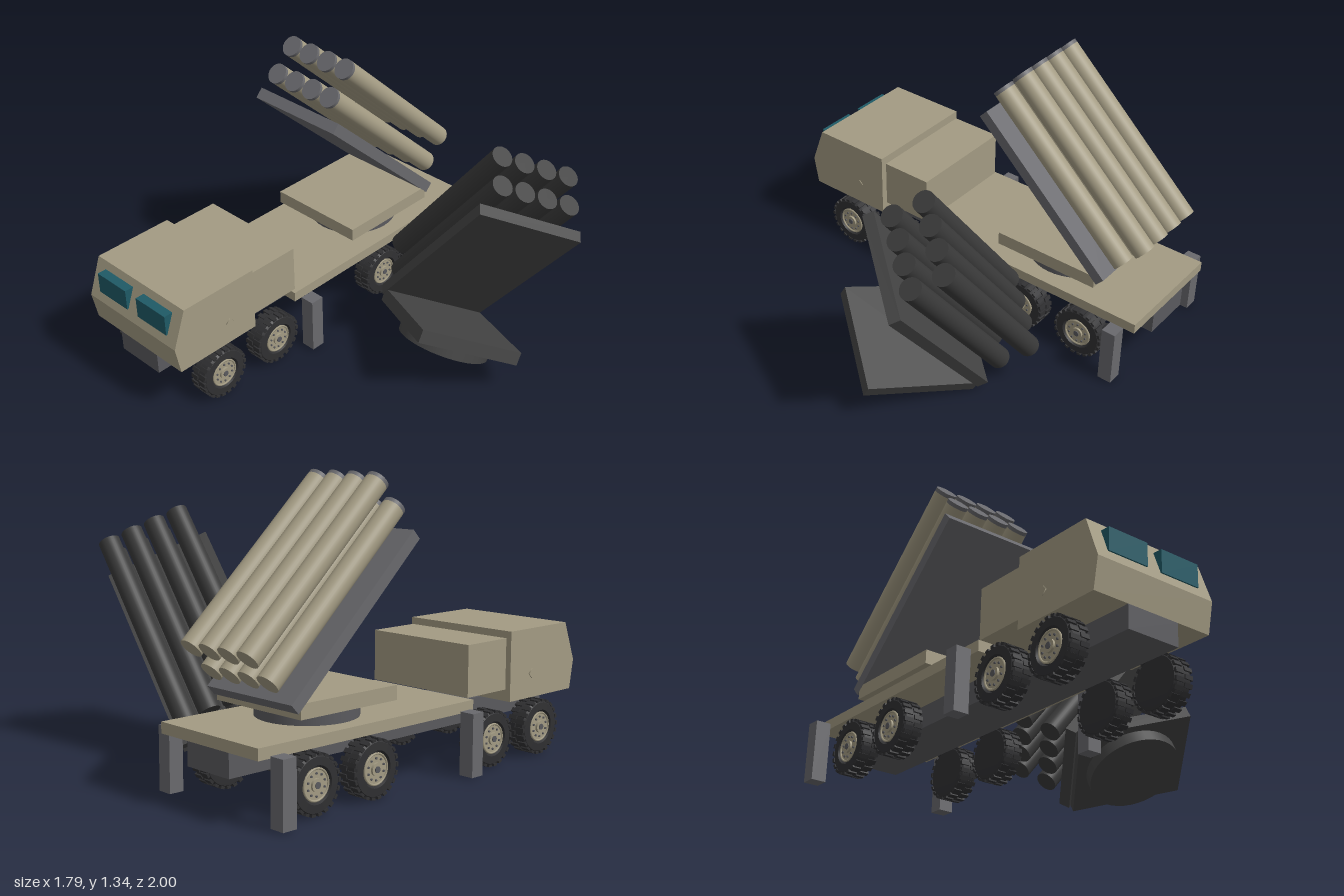
import * as THREE from 'three';
import { toCreasedNormals } from 'three/addons/utils/BufferGeometryUtils.js';

const CX = -0.508; // truck centre line

const mat = (name, color) => {
  const m = new THREE.MeshStandardMaterial({ color });
  m.name = name;
  return m;
};

function add(parent, name, geometry, material, x = 0, y = 0, z = 0) {
  const mesh = new THREE.Mesh(geometry, material);
  mesh.name = name;
  mesh.position.set(x, y, z);
  parent.add(mesh);
  return mesh;
}

const box = (w, h, d) => new THREE.BoxGeometry(w, h, d);

// Turntable, tilted back panel and two rows of four tubes; origin under the turntable
function makeLauncher(name, m) {
  const g = new THREE.Group();
  g.name = name;
  add(g, 'turntable', new THREE.CylinderGeometry(0.225, 0.225, 0.06, 40), m.ring, 0, 0.03, 0);
  add(g, 'turntablePlatform', box(0.52, 0.065, 0.55), m.platform, 0, 0.0925, 0);

  // inside the cradle, z runs along the tubes and y points away from the panel
  const cradle = new THREE.Group();
  cradle.name = 'cradle';
  cradle.position.set(0, 0.429, 0.04);
  cradle.rotation.x = -0.75;
  g.add(cradle);
  add(cradle, 'backPanel', box(0.522, 0.055, 0.946), m.panel);

  const capLength = 0.018, length = 0.976;
  const tube = new THREE.CylinderGeometry(0.051, 0.051, length - capLength, 32).rotateX(Math.PI / 2);
  const cap = new THREE.CylinderGeometry(0.051, 0.051, capLength, 32).rotateX(Math.PI / 2);
  for (const y of [0.117, 0.267]) {
    for (let i = 0; i < 4; i++) {
      const x = (i - 1.5) * 0.116;
      add(cradle, 'tube', tube, m.tube, x, y, 0.033 - capLength / 2);
      add(cradle, 'tubeCap', cap, m.cap, x, y, 0.033 + length / 2 - capLength / 2);
    }
  }
  return g;
}

// Wheel with its outer face towards +x
function makeWheel(tyreMat, hubMat, boltMat) {
  const g = new THREE.Group();
  g.name = 'wheel';
  const profile = [[0, -0.042], [0.1, -0.047], [0.115, -0.045], [0.124, -0.034], [0.124, 0.034],
    [0.115, 0.045], [0.08, 0.047], [0.072, 0.03], [0, 0.03]].map(([r, y]) => new THREE.Vector2(r, y));
  const tyre = new THREE.LatheGeometry(profile, 32).rotateZ(-Math.PI / 2);
  add(g, 'tyre', toCreasedNormals(tyre, 0.5), tyreMat);

  // staggered tread blocks
  const block = box(0.042, 0.012, 0.02);
  const count = 22;
  for (let i = 0; i < count * 2; i++) {
    const a = (i / (count * 2)) * Math.PI * 2;
    const r = 0.1235;
    const b = add(g, 'treadBlock', block, tyreMat, i % 2 ? 0.025 : -0.025, Math.cos(a) * r, Math.sin(a) * r);
    b.rotation.x = a;
  }

  // rim, hub and bolts
  const disc = (r, h) => new THREE.CylinderGeometry(r, r, h, 28).rotateZ(-Math.PI / 2);
  add(g, 'rim', disc(0.066, 0.012), hubMat, 0.033);
  const ring = new THREE.TorusGeometry(0.066, 0.005, 6, 28).rotateY(Math.PI / 2);
  add(g, 'rimRing', ring, hubMat, 0.04);
  add(g, 'hub', disc(0.028, 0.012), hubMat, 0.043);
  add(g, 'hubCap', disc(0.014, 0.006), boltMat, 0.05);
  const bolt = new THREE.CylinderGeometry(0.005, 0.005, 0.008, 6).rotateZ(-Math.PI / 2);
  for (let i = 0; i < 10; i++) {
    const a = (i / 10) * Math.PI * 2;
    add(g, 'wheelBolt', bolt, boltMat, 0.041, Math.cos(a) * 0.047, Math.sin(a) * 0.047);
  }
  return g;
}

export function createModel() {
  const tan = mat('tan', 0xa39b83);
  const grey = mat('grey', 0x69696d);
  const chassisGrey = mat('chassisGrey', 0x5a5a5e);
  const rubber = mat('rubber', 0x303032);
  const glass = mat('glass', 0x1f5a66);
  const charcoal = mat('charcoal', 0x444444);
  const soot = mat('soot', 0x3a3a3a);

  const model = new THREE.Group();
  model.name = 'launcherTruck';

  const truck = new THREE.Group();
  truck.name = 'truck';
  model.add(truck);

  // chassis and load deck
  add(truck, 'chassis', box(0.26, 0.105, 1.975), chassisGrey, CX, 0.2285, -0.0125);
  add(truck, 'deck', box(0.605, 0.05, 1.26), tan, CX, 0.306, -0.37);

  // cab from its side outline
  const outline = [[0.975, 0.281], [1.0, 0.42], [0.93, 0.606], [0.52, 0.606], [0.52, 0.281]];
  const shape = new THREE.Shape(outline.map(([z, y]) => new THREE.Vector2(z, y)));
  const cab = new THREE.ExtrudeGeometry(shape, { depth: 0.605, bevelEnabled: false });
  cab.rotateY(-Math.PI / 2);
  add(truck, 'cab', cab, tan, CX + 0.3025, 0, 0);
  add(truck, 'equipmentBox', box(0.57, 0.237, 0.265), tan, CX, 0.457, 0.3745);

  // windscreens and small diamond door caps
  const doorCap = new THREE.CylinderGeometry(0.022, 0.022, 0.008, 4).rotateZ(Math.PI / 2);
  for (const s of [-1, 1]) {
    add(truck, 'windscreen', box(0.2, 0.104, 0.08), glass, CX + s * 0.1375, 0.517, 0.95);
    add(truck, 'doorCap', doorCap, tan, CX + s * 0.303, 0.394, 0.676);
  }

  // wheels and stabiliser legs on both sides
  const wheel = makeWheel(rubber, tan, chassisGrey);
  for (const s of [-1, 1]) {
    for (const z of [0.735, 0.39, -0.367, -0.705]) {
      const w = wheel.clone();
      w.position.set(CX + s * 0.271, 0.134, z);
      w.rotation.y = s < 0 ? Math.PI : 0;
      truck.add(w);
    }
    for (const z of [0.193, -0.915]) {
      add(truck, 'stabiliserLeg', box(0.072, 0.285, 0.07), grey, CX + s * 0.352, 0.1525, z);
    }
  }

  // launcher standing on the deck
  const launcher = makeLauncher('launcher',
    { ring: chassisGrey, platform: tan, panel: grey, tube: tan, cap: grey });
  launcher.position.set(CX, 0.33, -0.465);
  truck.add(launcher);

  // burnt launcher tipped over beside the truck
  const wreck = makeLauncher('wreckedLauncher',
    { ring: charcoal, platform: charcoal, panel: charcoal, tube: soot, cap: soot });
  wreck.position.set(0.409, 0.133, -0.128);
  wreck.rotation.set(-0.5, 1.0, 0);
  model.add(wreck);

  return model;
}
